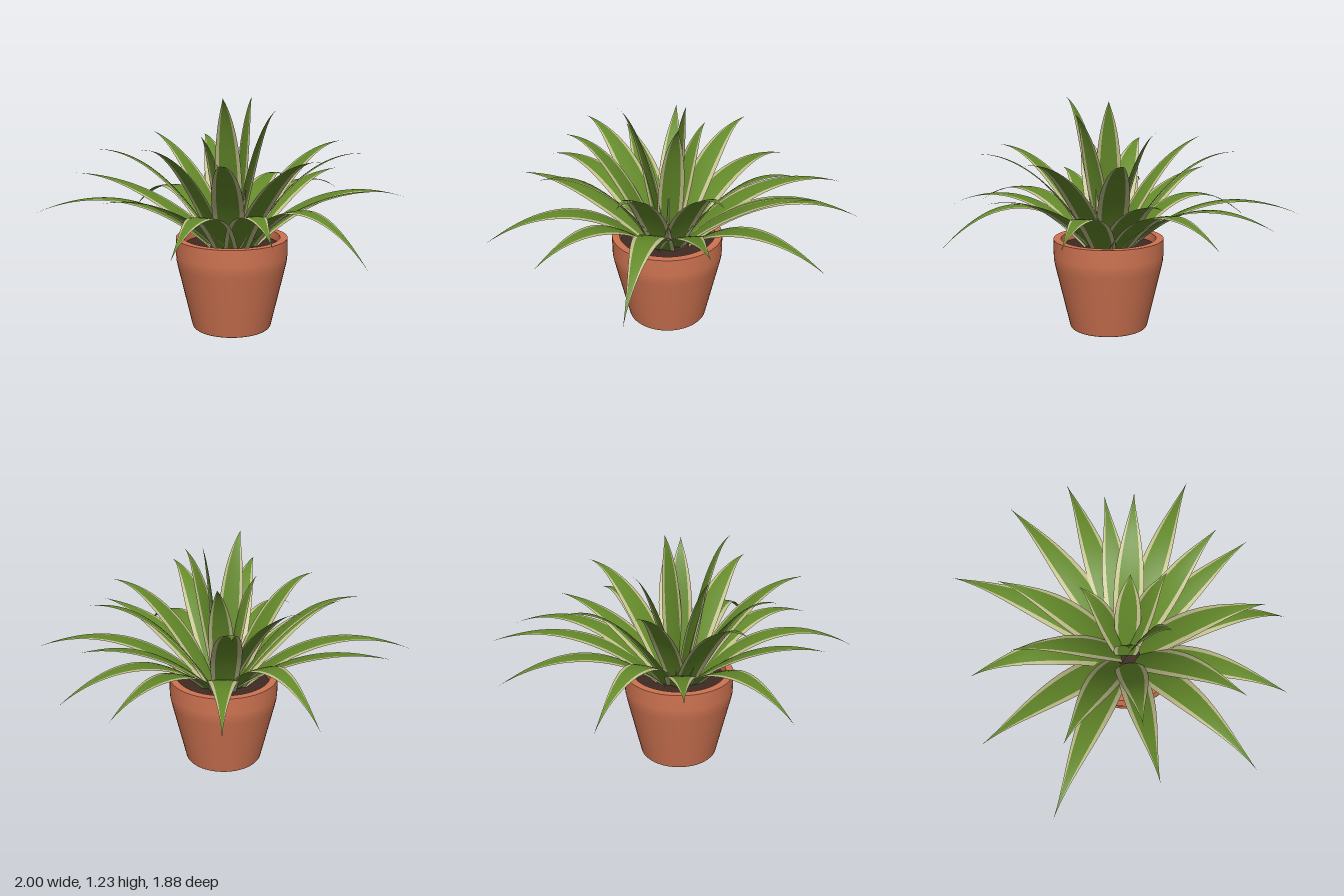
import * as THREE from 'three';

const mat = (name, color, side = THREE.FrontSide) => {
  const m = new THREE.MeshStandardMaterial({ color, side });
  m.name = name;
  return m;
};

// Leaf tips as [x, y, z], from the low drooping ring to the upright heart
const TIPS = [
  [-0.04, 0.65, -0.94], [0.46, 0.66, -0.83], [0.74, 0.62, -0.61], [1.0, 0.65, 0.02],
  [0.51, 0.49, 0.8], [0.05, 0.64, 0.94], [-0.38, 0.6, 0.93], [-1.0, 0.65, 0.09], [-0.48, 0.53, -0.64],
  [0.68, 0.78, -0.35], [0.71, 0.78, 0.46], [-0.66, 0.77, 0.51], [-0.82, 0.78, -0.36],
  [0.66, 0.96, -0.17], [0.63, 0.95, 0.3], [0.33, 0.96, 0.67], [-0.15, 0.96, 0.74],
  [-0.7, 0.96, 0.03], [-0.07, 0.96, -0.61],
  [-0.48, 0.99, 0.34], [-0.39, 1.01, -0.38], [0.02, 1.06, -0.2],
  [-0.17, 1.03, 0.14], [-0.08, 1.23, 0.31], [0.21, 1.16, 0.18], [0.11, 1.22, 0.03],
];
const CENTRE_Z = 0.06;
const MARGIN = 0.7; // fraction of half width where the pale margin starts

// Half width of a blade along its length: broad near the base, long slender tip
const halfWidth = (t, w) => w * (t < 0.27
  ? 0.8 + 0.2 * Math.sin((t / 0.27) * Math.PI / 2)
  : Math.pow(Math.max(0, Math.cos(((t - 0.27) / 0.73) * Math.PI / 2)), 1.45));

// Lengthwise band of a leaf between cross positions u0 and u1 (-1..1)
function leafBand(curve, side, w, u0, u1, cols) {
  const rows = 22, pos = [], idx = [];
  for (let i = 0; i <= rows; i++) {
    const t = i / rows;
    const p = curve.getPoint(t), tangent = curve.getTangent(t);
    const up = new THREE.Vector3().crossVectors(side, tangent).normalize();
    const h = halfWidth(t, w);
    for (let j = 0; j <= cols; j++) {
      const u = u0 + (u1 - u0) * j / cols;
      const q = p.clone().addScaledVector(side, u * h).addScaledVector(up, 0.08 * h * u * u);
      pos.push(q.x, q.y, q.z);
      if (i < rows && j < cols) {
        const a = i * (cols + 1) + j, b = a + cols + 1;
        idx.push(a, a + 1, b, a + 1, b + 1, b);
      }
    }
  }
  const g = new THREE.BufferGeometry();
  g.setAttribute('position', new THREE.Float32BufferAttribute(pos, 3));
  g.setIndex(idx);
  g.computeVertexNormals();
  return g;
}

function makeLeaf([x, y, z], green, cream) {
  const leaf = new THREE.Group();
  leaf.name = 'leaf';
  const dz = z - CENTRE_Z, r = Math.hypot(x, dz);
  const dir = new THREE.Vector3(x / r, 0, dz / r);
  const at = (radius, h) => new THREE.Vector3(dir.x * radius, h, CENTRE_Z + dir.z * radius);
  // Low leaves arch over and droop, middle ones level out, upright ones rise
  const bendY = y < 0.72 ? 1.2 - 0.53 * y : y < 1 ? y + 0.01 : y - 0.08;
  const curve = new THREE.QuadraticBezierCurve3(
    at(y < 0.72 ? 0.09 : y < 1 ? 0.06 : 0.02, 0.42), at(r * 0.45 + (y < 1 ? 0.06 : 0.02), bendY), at(r, y));
  const side = new THREE.Vector3(dir.z, 0, -dir.x);
  const w = y < 1 ? 0.08 : 0.068;
  const add = (name, material, u0, u1, cols) => {
    const m = new THREE.Mesh(leafBand(curve, side, w, u0, u1, cols), material);
    m.name = name;
    leaf.add(m);
  };
  add('leafBlade', green, -MARGIN, MARGIN, 4);
  add('leafMargin', cream, -1, -MARGIN, 1);
  add('leafMargin', cream, MARGIN, 1, 1);
  return leaf;
}

export function createModel() {
  const model = new THREE.Group();
  model.name = 'pottedPlant';
  const terracotta = mat('terracotta', 0xce7351);
  const earth = mat('soil', 0x3d2a22);
  const green = mat('leafGreen', 0x648a2a, THREE.DoubleSide);
  const cream = mat('leafCream', 0xc3c08e, THREE.DoubleSide);

  // Pot: tapered body, straight collar and hollow rim; edges kept sharp by doubled points
  const profile = [
    [0, 0], [0.205, 0], [0.205, 0], [0.21, 0.006], [0.21, 0.006], [0.286, 0.335], [0.293, 0.37],
    [0.295, 0.4], [0.295, 0.488], [0.295, 0.488], [0.255, 0.488], [0.255, 0.488], [0.248, 0.42],
  ].map(([a, b]) => new THREE.Vector2(a, b));
  const pot = new THREE.Mesh(new THREE.LatheGeometry(profile, 48), terracotta);
  pot.name = 'pot';
  pot.position.z = CENTRE_Z;
  model.add(pot);

  // Soil
  const soil = new THREE.Mesh(new THREE.CircleGeometry(0.252, 48), earth);
  soil.name = 'soil';
  soil.rotation.x = -Math.PI / 2;
  soil.position.set(0, 0.445, CENTRE_Z);
  model.add(soil);

  // Rosette of leaves
  const rosette = new THREE.Group();
  rosette.name = 'rosette';
  for (const tip of TIPS) rosette.add(makeLeaf(tip, green, cream));
  model.add(rosette);
  return model;
}
